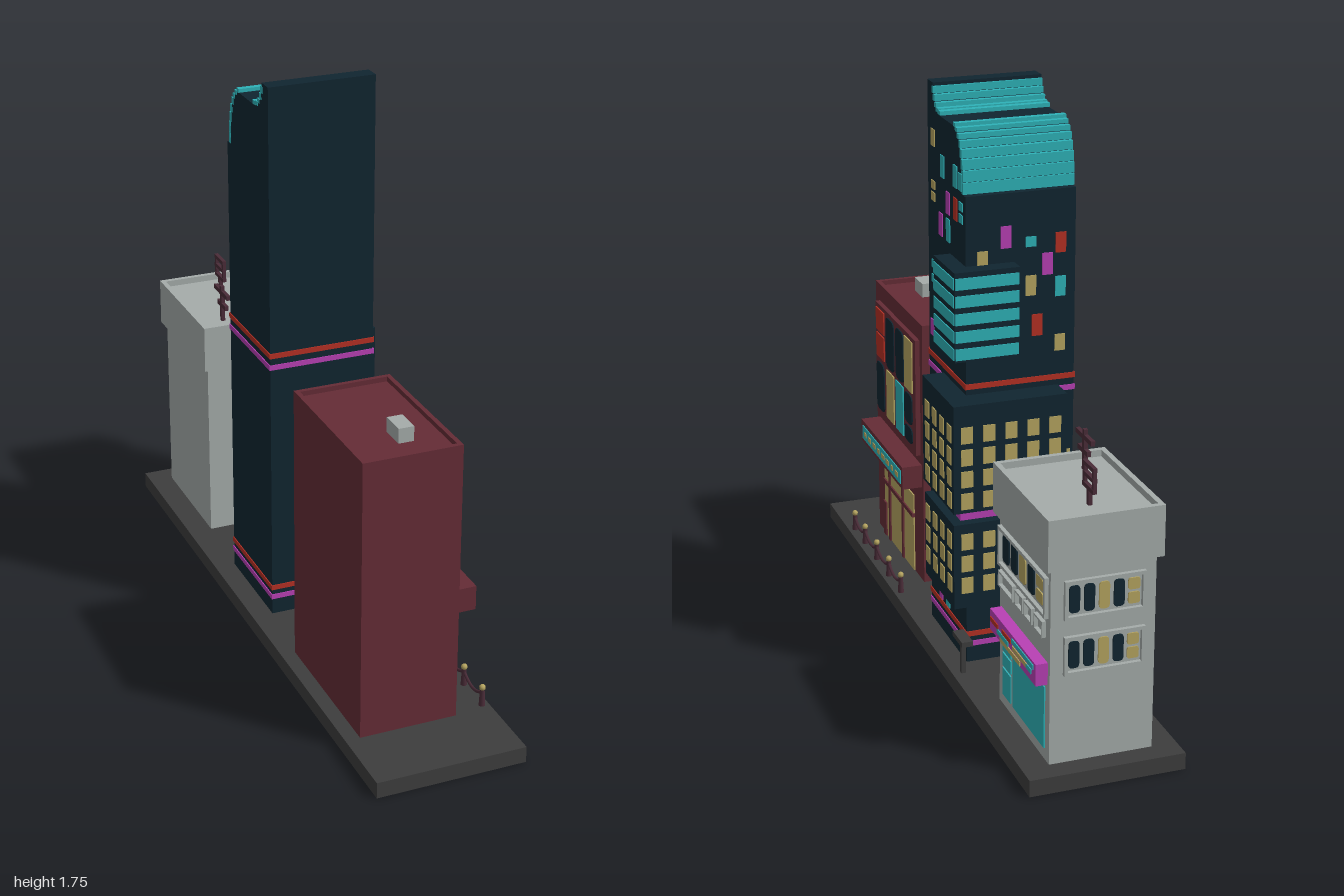
import * as THREE from 'three';

const mat = (name, color) => Object.assign(new THREE.MeshStandardMaterial({ color }), { name });

export function createModel() {
  const root = new THREE.Group();
  root.name = 'cityBlock';
  const M = {
    asphalt: mat('asphalt', 0x3d3d3d), navy: mat('navy', 0x102530), maroon: mat('maroon', 0x652c36),
    grey: mat('pale grey', 0xa5acaa), teal: mat('teal', 0x2eb2b8), yellow: mat('warm yellow', 0xb5a460),
    red: mat('red', 0xb53024), magenta: mat('magenta', 0xb840b4), brown: mat('dark brown', 0x4a2c38),
  };
  let group = root;
  const section = (name) => { group = new THREE.Group(); group.name = name; root.add(group); };
  const add = (name, geo, m) => {
    const mesh = new THREE.Mesh(geo, M[m]);
    mesh.name = name;
    group.add(mesh);
    return mesh;
  };
  // Box given by its extents
  const box = (name, m, x0, x1, y0, y1, z0, z1) => {
    const mesh = add(name, new THREE.BoxGeometry(x1 - x0, y1 - y0, z1 - z0), m);
    mesh.position.set((x0 + x1) / 2, (y0 + y1) / 2, (z0 + z1) / 2);
    return mesh;
  };
  // Thin plate on a street wall (+x) or a back wall (-z); u runs along the wall
  const plate = (name, m, side, at, u, y, w, h, r = 0, t = 0.008) => {
    let geo;
    if (r) {
      const s = new THREE.Shape(), a = w / 2, b = h / 2;
      s.moveTo(-a + r, -b);
      s.lineTo(a - r, -b); s.quadraticCurveTo(a, -b, a, -b + r);
      s.lineTo(a, b - r); s.quadraticCurveTo(a, b, a - r, b);
      s.lineTo(-a + r, b); s.quadraticCurveTo(-a, b, -a, b - r);
      s.lineTo(-a, -b + r); s.quadraticCurveTo(-a, -b, -a + r, -b);
      geo = new THREE.ExtrudeGeometry(s, { depth: t, bevelEnabled: false, curveSegments: 4 });
    } else geo = new THREE.BoxGeometry(w, h, t).translate(0, 0, t / 2);
    const mesh = add(name, geo, m);
    if (side === 'street') { mesh.rotation.y = Math.PI / 2; mesh.position.set(at, y, u); }
    else { mesh.rotation.y = Math.PI; mesh.position.set(u, y, at); }
    return mesh;
  };
  // Rectangular parapet ring around a sunken roof
  const parapet = (m, x0, x1, y0, y1, z0, z1, t) => {
    for (const [a, b] of [[x0, x0 + t], [x1 - t, x1]]) box('parapet', m, a, b, y0, y1, z0, z1);
    for (const [a, b] of [[z0, z0 + t], [z1 - t, z1]]) box('parapet', m, x0 + t, x1 - t, y0, y1, a, b);
  };

  box('groundSlab', 'asphalt', -0.23, 0.23, 0, 0.05, -1, 1);

  // ---- Maroon shop house ----
  section('maroonHouse');
  box('houseBody', 'maroon', -0.185, 0.115, 0.05, 0.905, 0.285, 0.78);
  parapet('maroon', -0.185, 0.115, 0.905, 0.92, 0.285, 0.78, 0.014);
  box('roofVent', 'grey', -0.035, 0.012, 0.9, 0.95, 0.6, 0.68);
  box('wallUnit', 'grey', -0.035, 0.065, 0.57, 0.64, 0.27, 0.29);
  box('windowBay', 'maroon', 0.11, 0.13, 0.48, 0.865, 0.31, 0.735);
  // z, y, width, height, colour, corner radius
  for (const [z, y, w, h, m, r] of [
    [0.68, 0.813, 0.085, 0.075, 'red', 0], [0.68, 0.725, 0.085, 0.08, 'red', 0],
    [0.572, 0.765, 0.085, 0.17, 'navy', 0.025], [0.468, 0.765, 0.082, 0.17, 'navy', 0.025],
    [0.377, 0.765, 0.08, 0.17, 'yellow', 0], [0.682, 0.585, 0.08, 0.165, 'navy', 0.025],
    [0.575, 0.585, 0.08, 0.165, 'yellow', 0], [0.474, 0.585, 0.08, 0.165, 'teal', 0],
    [0.38, 0.617, 0.078, 0.1, 'navy', 0.025], [0.38, 0.53, 0.078, 0.052, 'navy', 0.02],
  ]) plate('houseWindow', m, 'street', 0.13, z, y, w, h, r, 0.004);
  box('signLedge', 'maroon', 0.11, 0.18, 0.375, 0.45, 0.3, 0.755);
  plate('signFace', 'teal', 'street', 0.18, 0.525, 0.412, 0.42, 0.046, 0, 0.003);
  for (let i = 0; i < 8; i++)
    plate('signMark', 'yellow', 'street', 0.183, 0.7 - i * 0.05, 0.412, i % 3 ? 0.03 : 0.018, 0.016, 0, 0.002);
  plate('shopGlass', 'yellow', 'street', 0.115, 0.54, 0.183, 0.32, 0.265, 0, 0.004);
  for (const z of [0.635, 0.49]) plate('shopMullion', 'maroon', 'street', 0.115, z, 0.183, 0.015, 0.265, 0, 0.009);
  plate('shopTransom', 'maroon', 'street', 0.115, 0.54, 0.245, 0.32, 0.014, 0, 0.009);
  plate('shopStep', 'maroon', 'street', 0.115, 0.69, 0.11, 0.03, 0.12, 0, 0.009);
  for (const [x, y] of [[0.065, 0.79], [-0.036, 0.79], [-0.036, 0.3]])
    plate('rearWindow', 'navy', 'back', 0.285, x, y, 0.05, 0.125, 0.02, 0.005);

  // ---- Chain fence ----
  section('chainFence');
  const posts = [0.24, 0.37, 0.505, 0.64, 0.76];
  posts.forEach((z, i) => {
    const post = add('fencePost', new THREE.CylinderGeometry(0.007, 0.01, 0.055, 8), 'brown');
    post.position.set(0.208, 0.0775, z);
    add('fenceKnob', new THREE.SphereGeometry(0.01, 8, 6), 'yellow').position.set(0.208, 0.11, z);
    if (!i) return;
    const p = posts[i - 1];
    const curve = new THREE.QuadraticBezierCurve3(new THREE.Vector3(0.208, 0.095, p),
      new THREE.Vector3(0.208, 0.05, (p + z) / 2), new THREE.Vector3(0.208, 0.095, z));
    add('fenceChain', new THREE.TubeGeometry(curve, 8, 0.005, 5), 'brown');
  });

  // ---- Navy tower with a curved crown ----
  section('tower');
  const concave = [], convex = [];
  for (let i = 0; i <= 5; i++) {
    const a = (i / 5) * Math.PI / 2;
    concave.push([-0.065 * (1 - Math.cos(a)), 1.74 - 0.073 * Math.sin(a)]);
  }
  for (let i = 0; i <= 8; i++) {
    const a = (i / 8) * Math.PI / 2;
    convex.push([-0.18 - 0.085 * Math.sin(a), 1.487 + 0.18 * Math.cos(a)]);
  }
  const outline = [[0.05, 0.05], [0.05, 1.75], [0, 1.75], ...concave, ...convex, [-0.285, 1.487], [-0.285, 0.05]];
  const profile = new THREE.Shape(outline.map(([z, y]) => new THREE.Vector2(-z, y)));
  const body = add('towerBody', new THREE.ExtrudeGeometry(profile, { depth: 0.33, bevelEnabled: false }), 'navy');
  body.rotation.y = Math.PI / 2;
  body.position.x = -0.165;
  // Stepped glass slats along both curves
  for (const pts of [concave, convex])
    for (let i = 0; i + 1 < pts.length; i++) {
      const [z0, y0] = pts[i], [z1, y1] = pts[i + 1];
      box('crownSlat', 'teal', -0.166, 0.166, y1 + 0.002, Math.max(y0, y1 + 0.014), z1 - 0.004, Math.max(z0 - 0.002, z1 + 0.011));
    }
  for (const [y, m] of [[0.925, 'red'], [0.888, 'magenta'], [0.142, 'red'], [0.11, 'magenta']])
    box('towerBand', m, -0.168, 0.168, y - 0.008, y + 0.008, -0.288, 0.053);
  // Street windows by colour: z, y, height, optional width
  const street = {
    yellow: [[0, 1.59, 0.05], [0, 1.45, 0.025], [0, 1.415, 0.025], [-0.07, 1.185, 0.068], [0, 0.83, 0.053],
      [0, 0.67, 0.03], [0, 0.63, 0.025], [0, 0.417, 0.065], [0, 0.25, 0.03]],
    teal: [[-0.085, 1.525, 0.065], [-0.2, 1.525, 0.065], [-0.245, 1.52, 0.05, 0.03], [-0.25, 1.45, 0.025],
      [-0.25, 1.415, 0.025], [-0.135, 1.35, 0.068], [0, 1.21, 0.025], [0, 1.165, 0.025],
      [-0.072, 0.755, 0.068, 0.014], [-0.12, 0.25, 0.03], [-0.115, 0.188, 0.066]],
    red: [[-0.2, 1.43, 0.065], [-0.07, 1.085, 0.068], [-0.07, 0.33, 0.065], [-0.2, 0.255, 0.06]],
    magenta: [[-0.135, 1.43, 0.065], [-0.07, 1.35, 0.068], [0.015, 1.01, 0.05], [-0.07, 0.58, 0.065], [-0.05, 0.187, 0.066]],
  };
  const rear = {
    yellow: [[0.115, 1.3, 0.05], [-0.03, 1.21, 0.06], [-0.12, 1.03, 0.05], [-0.14, 0.67, 0.05], [0.06, 0.2, 0.03]],
    teal: [[-0.03, 1.34, 0.03], [-0.12, 1.2, 0.06], [-0.14, 0.45, 0.06], [0, 0.22, 0.06]],
    red: [[-0.12, 1.33, 0.06], [-0.05, 1.09, 0.065], [-0.13, 0.3, 0.06]],
    magenta: [[0.045, 1.36, 0.065], [-0.08, 1.27, 0.065], [-0.14, 0.56, 0.06], [-0.07, 0.21, 0.06]],
  };
  for (const [list, side, at] of [[street, 'street', 0.165], [rear, 'back', -0.285]])
    for (const m in list)
      for (const [u, y, h, w = 0.032] of list[m]) plate('towerWindow', m, side, at, u, y, w, h, 0, 0.003);

  // Corner boxes hung on the tower
  box('upperPod', 'navy', 0.02, 0.215, 1.02, 1.285, -0.335, -0.15);
  for (let i = 0; i < 5; i++) {
    const y = 1.252 - i * 0.052;
    plate('podStripe', 'teal', 'street', 0.215, -0.243, y, 0.18, 0.034, 0, 0.003);
    plate('podStripe', 'teal', 'back', -0.335, 0.118, y, 0.19, 0.034, 0, 0.003);
  }
  box('middlePod', 'navy', -0.115, 0.23, 0.57, 0.9, -0.365, -0.08);
  box('podJoint', 'magenta', -0.09, 0.2, 0.535, 0.57, -0.335, -0.08);
  box('lowerPod', 'navy', -0.115, 0.23, 0.27, 0.535, -0.365, -0.095);
  for (const y of [0.81, 0.742, 0.675, 0.607, 0.48, 0.411, 0.342]) {
    for (let i = 0; i < 4; i++) plate('podWindow', 'yellow', 'street', 0.23, -0.125 - i * 0.068, y, 0.036, 0.05, 0, 0.003);
    for (let i = 0; i < 5; i++) plate('podWindow', 'yellow', 'back', -0.365, 0.19 - i * 0.067, y, 0.036, 0.05, 0, 0.003);
  }

  // ---- Street shelter post ----
  section('streetSign');
  box('signPole', 'asphalt', 0.19, 0.204, 0.05, 0.155, -0.35, -0.336);
  box('signBar', 'asphalt', 0.18, 0.214, 0.152, 0.168, -0.385, -0.3);

  // ---- Grey corner shop ----
  section('greyShop');
  box('shopBody', 'grey', -0.155, 0.15, 0.05, 0.64, -0.935, -0.535);
  box('shopCrown', 'grey', -0.17, 0.165, 0.635, 0.765, -0.953, -0.517);
  parapet('grey', -0.17, 0.165, 0.765, 0.785, -0.953, -0.517, 0.016);
  // Raised rectangular frame made of four bars
  const frame = (side, at, u, y, w, h, t = 0.01) => {
    for (const s of [-1, 1]) {
      plate('windowFrame', 'grey', side, at, u, y + s * (h - t) / 2, w, t, 0, 0.012);
      plate('windowFrame', 'grey', side, at, u + s * (w - t) / 2, y, t, h - 2 * t, 0, 0.012);
    }
  };
  const windowRow = (side, at, u0, y, step) => {
    ['navy', 'navy', 'yellow', 'navy'].forEach((m, i) =>
      plate('shopWindow', m, side, at, u0 - i * step, y, step * 0.72, 0.08, 0.012, 0.004));
    for (const s of [-1, 1])
      plate('shopWindow', 'yellow', side, at, u0 - 4 * step, y + s * 0.021, step * 0.8, 0.034, 0.008, 0.004);
  };
  frame('street', 0.15, -0.733, 0.545, 0.375, 0.12);
  windowRow('street', 0.15, -0.592, 0.545, 0.067);
  for (const y of [0.54, 0.375]) {
    frame('back', -0.935, -0.005, y, 0.235, 0.115);
    windowRow('back', -0.935, 0.082, y, 0.043);
  }
  for (const [z, w] of [[-0.61, 0.12], [-0.718, 0.06], [-0.79, 0.06], [-0.87, 0.065]]) frame('street', 0.15, z, 0.445, w, 0.048, 0.006);
  box('awningSign', 'magenta', 0.14, 0.185, 0.288, 0.353, -0.92, -0.55);
  for (const [z, y, w, m] of [[-0.59, 0.325, 0.06, 'red'], [-0.69, 0.329, 0.07, 'red'], [-0.82, 0.338, 0.17, 'teal'],
    [-0.66, 0.312, 0.09, 'teal'], [-0.8, 0.318, 0.12, 'yellow'], [-0.72, 0.298, 0.16, 'yellow'], [-0.87, 0.318, 0.04, 'teal']])
    plate('signStripe', m, 'street', 0.185, z, y, w, 0.014, 0, 0.003);
  for (const [y, h] of [[0.248, 0.045], [0.198, 0.04], [0.128, 0.085]])
    plate('doorGlass', 'teal', 'street', 0.15, -0.602, y, 0.068, h, 0, 0.004);
  plate('displayGlass', 'teal', 'street', 0.15, -0.778, 0.179, 0.25, 0.187, 0, 0.004);

  // Roof aerials
  box('aerialMast', 'brown', -0.081, -0.069, 0.76, 0.885, -0.612, -0.598);
  box('aerialBar', 'brown', -0.081, -0.069, 0.855, 0.87, -0.665, -0.548);
  box('aerialBar', 'brown', -0.081, -0.069, 0.813, 0.828, -0.637, -0.565);
  box('aerialMast', 'brown', -0.001, 0.011, 0.76, 0.815, -0.848, -0.834);
  for (const y of [0.815, 0.847, 0.877]) box('aerialRung', 'brown', -0.001, 0.011, y - 0.006, y + 0.006, -0.88, -0.802);
  for (const z of [-0.874, -0.808]) box('aerialRail', 'brown', 0, 0.01, 0.812, 0.88, z - 0.006, z + 0.006);

  return root;
}
